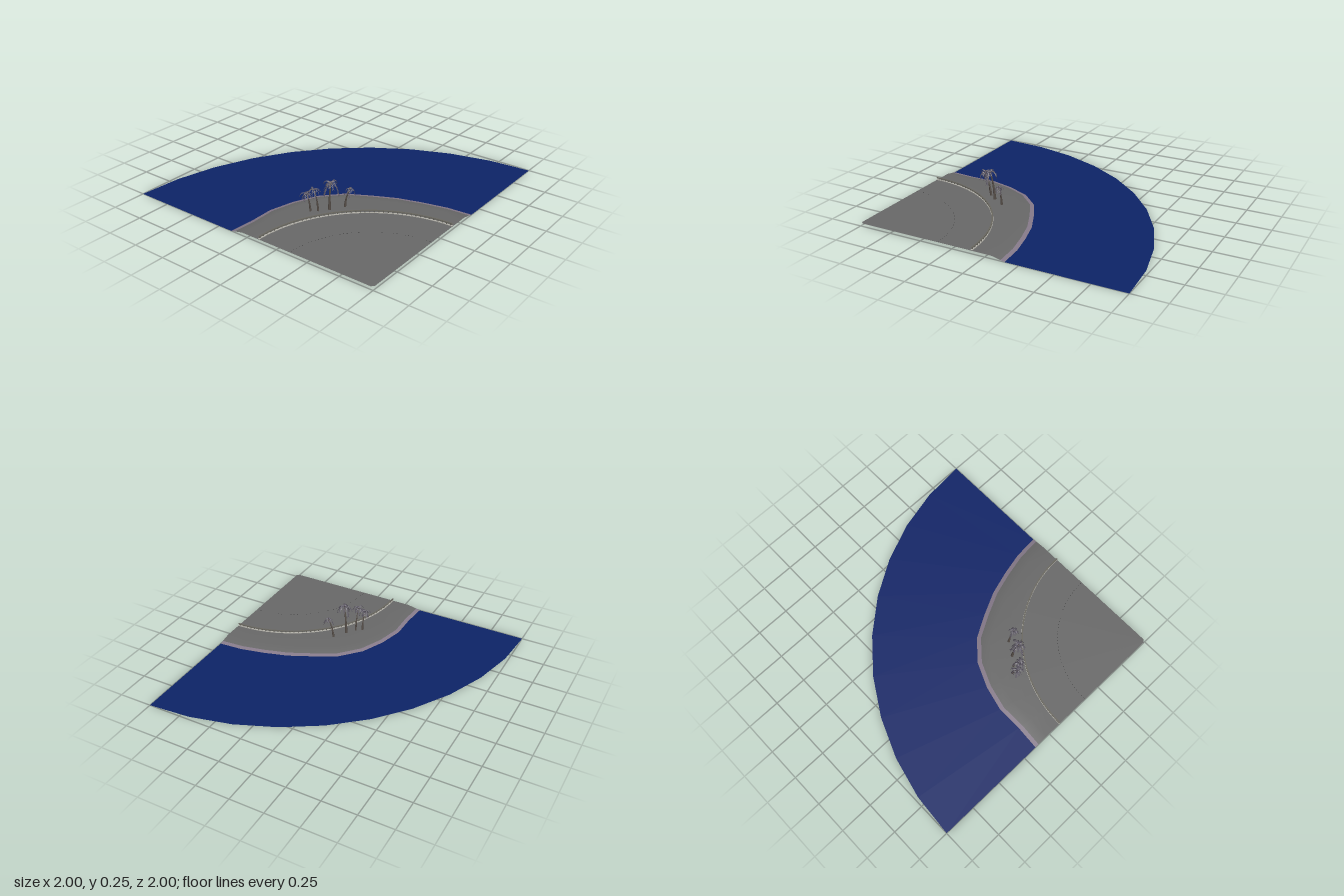
import * as THREE from 'three';

const mat = (name, color, side = THREE.FrontSide) =>
  Object.assign(new THREE.MeshStandardMaterial({ color, side }), { name });

// Everything is laid out in a quarter circle around the corner (1, 1).
const polar = (r, deg, y) => {
  const a = THREE.MathUtils.degToRad(deg);
  return new THREE.Vector3(1 - r * Math.cos(a), y, 1 - r * Math.sin(a));
};

// Sheet swept through the quarter circle; profile(u) lists [radius, height] pairs going outward.
function sweep(profile, segments, from = 0, to = 90) {
  const pos = [], index = [];
  let n = 0;
  for (let i = 0; i <= segments; i++) {
    const u = i / segments, rows = profile(u, i);
    n = rows.length;
    rows.forEach(([r, y]) => pos.push(...polar(r, from + (to - from) * u, y).toArray()));
  }
  for (let i = 0; i < segments; i++) {
    for (let j = 0; j < n - 1; j++) {
      const a = i * n + j, b = a + n;
      index.push(a, b, a + 1, b, b + 1, a + 1);
    }
  }
  const g = new THREE.BufferGeometry();
  g.setAttribute('position', new THREE.Float32BufferAttribute(pos, 3));
  g.setIndex(index);
  g.computeVertexNormals();
  return g;
}

// Tapered trunk following a bent curve.
function trunkGeometry(curve, r0, r1) {
  const rings = 10, sides = 7;
  const g = new THREE.TubeGeometry(curve, rings, 1, sides, false);
  const p = g.attributes.position, v = new THREE.Vector3();
  for (let i = 0; i <= rings; i++) {
    const t = i / rings, c = curve.getPointAt(t);
    const r = r1 + (r0 - r1) * Math.pow(1 - t, 1.6);
    for (let j = 0; j <= sides; j++) {
      const k = i * (sides + 1) + j;
      v.fromBufferAttribute(p, k).sub(c).multiplyScalar(r).add(c);
      p.setXYZ(k, v.x, v.y, v.z);
    }
  }
  g.computeVertexNormals();
  return g;
}

// Arching frond with a row of pointed leaflets on both sides of its rib.
function frondGeometry(length, droop) {
  const steps = 7, pos = [];
  const rib = t => [length * t * (1 - 0.15 * t), length * (1.1 * t - droop * t * t), 0];
  for (let i = 0; i < steps; i++) {
    const t0 = i / steps, t1 = (i + 1) / steps;
    const a = rib(t0), b = rib(t1);
    const w = length * (0.07 + 0.17 * Math.sin(Math.PI * (0.1 + 0.85 * t0)));
    const tip = rib(Math.min(1.08, t1 + 0.09));
    for (const s of [-1, 1]) {
      const c = [tip[0], tip[1] - w * 0.45, s * w];
      pos.push(...(s > 0 ? [...a, ...c, ...b] : [...a, ...b, ...c]));
    }
  }
  const g = new THREE.BufferGeometry();
  g.setAttribute('position', new THREE.Float32BufferAttribute(pos, 3));
  g.computeVertexNormals();
  return g;
}

export function createModel() {
  const model = new THREE.Group();
  model.name = 'seasidePromenade';
  const D = THREE.DoubleSide;
  const water = mat('seaBlue', 0x0d2367, D);
  const ground = mat('groundGrey', 0x686868, D);
  const wet = mat('shoreMauve', 0x867a8a, D);
  const stone = mat('railingStone', 0x69675f);
  const light = mat('kerbStone', 0xb4b2aa, D);
  const dark = mat('jointDark', 0x2c2c2c, D);
  const bark = mat('palmBark', 0x564e48);
  const leaf = mat('palmLeaf', 0x5a5562, D);

  const add = (name, geometry, material, parent = model) => {
    const m = new THREE.Mesh(geometry, material);
    m.name = name;
    parent.add(m);
    return m;
  };

  // Sea, shoreline band and beach share the same shore radii
  const shore = [1.14, 1.14, 1.185, 1.212, 1.236, 1.23, 1.19, 1.17, 1.151, 1.148, 1.147];
  const top = 0.022;
  add('sea', sweep((u, i) => [[shore[i], 0], [2, 0]], 10), water);
  add('shoreline', sweep((u, i) => [[shore[i] - 0.03, 0.007], [shore[i], 0]], 10), wet);
  add('beach', sweep((u, i) => [[0.885, top], [shore[i] - 0.1, top], [shore[i] - 0.03, 0.007]], 10), ground);
  add('plaza', sweep(() => [[0.015, top + 0.0005], [0.9, top + 0.0005]], 40), ground);

  // Fine dotted joint in the paving
  const joint = new THREE.Group();
  joint.name = 'pavingJoint';
  model.add(joint);
  for (let i = 0; i < 40; i++) {
    const a = i * 2.25 + 0.7;
    add('jointDash', sweep(() => [[0.638, top + 0.0012], [0.641, top + 0.0012]], 1, a, a + 0.7), dark, joint);
  }

  // Balustrade: kerb, balusters and handrail along the arc
  const railing = new THREE.Group();
  railing.name = 'balustrade';
  model.add(railing);
  const bar = (y0, y1, r0, r1) =>
    sweep(() => [[r0, y0], [r0, y1], [r1, y1], [r1, y0]], 45).toNonIndexed();
  const kerb = bar(top, top + 0.004, 0.893, 0.905);
  kerb.computeVertexNormals();
  add('kerb', kerb, light, railing);
  const rail = sweep(() => [[0.894, 0.037], [0.894, 0.043], [0.904, 0.043], [0.904, 0.037], [0.894, 0.037]], 45).toNonIndexed();
  rail.computeVertexNormals();
  add('handrail', rail, stone, railing);
  const balusterShape = new THREE.LatheGeometry(
    [[0.0045, 0], [0.0025, 0.004], [0.0045, 0.008], [0.0022, 0.013], [0.004, 0.016]].map(p => new THREE.Vector2(...p)), 6);
  for (let i = 0; i < 45; i++) {
    add('baluster', balusterShape, stone, railing).position.copy(polar(0.899, 1 + i * 2, top));
  }

  // Palms: base x z, crown x y z, frond length, trunk radius
  const palms = [
    [0.125, 0.505, 0.122, 0.165, 0.54, 0.055, 0.008],
    [0.165, 0.472, 0.165, 0.2, 0.518, 0.055, 0.008],
    [0.215, 0.41, 0.24, 0.237, 0.428, 0.072, 0.011],
    [0.275, 0.315, 0.315, 0.167, 0.312, 0.048, 0.009],
  ];
  palms.forEach(([bx, bz, cx, cy, cz, len, r], k) => {
    const palm = new THREE.Group();
    palm.name = 'palm';
    model.add(palm);
    const mid = new THREE.Vector3(bx + (cx - bx) * 0.12, cy * 0.62, bz + (cz - bz) * 0.12);
    const curve = new THREE.QuadraticBezierCurve3(
      new THREE.Vector3(bx, top - 0.002, bz), mid, new THREE.Vector3(cx, cy, cz));
    add('trunk', trunkGeometry(curve, r, r * 0.42), bark, palm);
    const crown = new THREE.Group();
    crown.name = 'crown';
    crown.position.set(cx, cy, cz);
    palm.add(crown);
    add('crownHeart', new THREE.IcosahedronGeometry(r * 0.6, 0), bark, crown);
    for (let i = 0; i < 10; i++) {
      const size = len * (0.82 + 0.18 * Math.sin(i * 2.3 + k));
      add('frond', frondGeometry(size, 1.3 + 0.35 * (i % 3)), leaf, crown).rotation.y = i * Math.PI / 5 + k * 0.7;
    }
  });
  return model;
}
